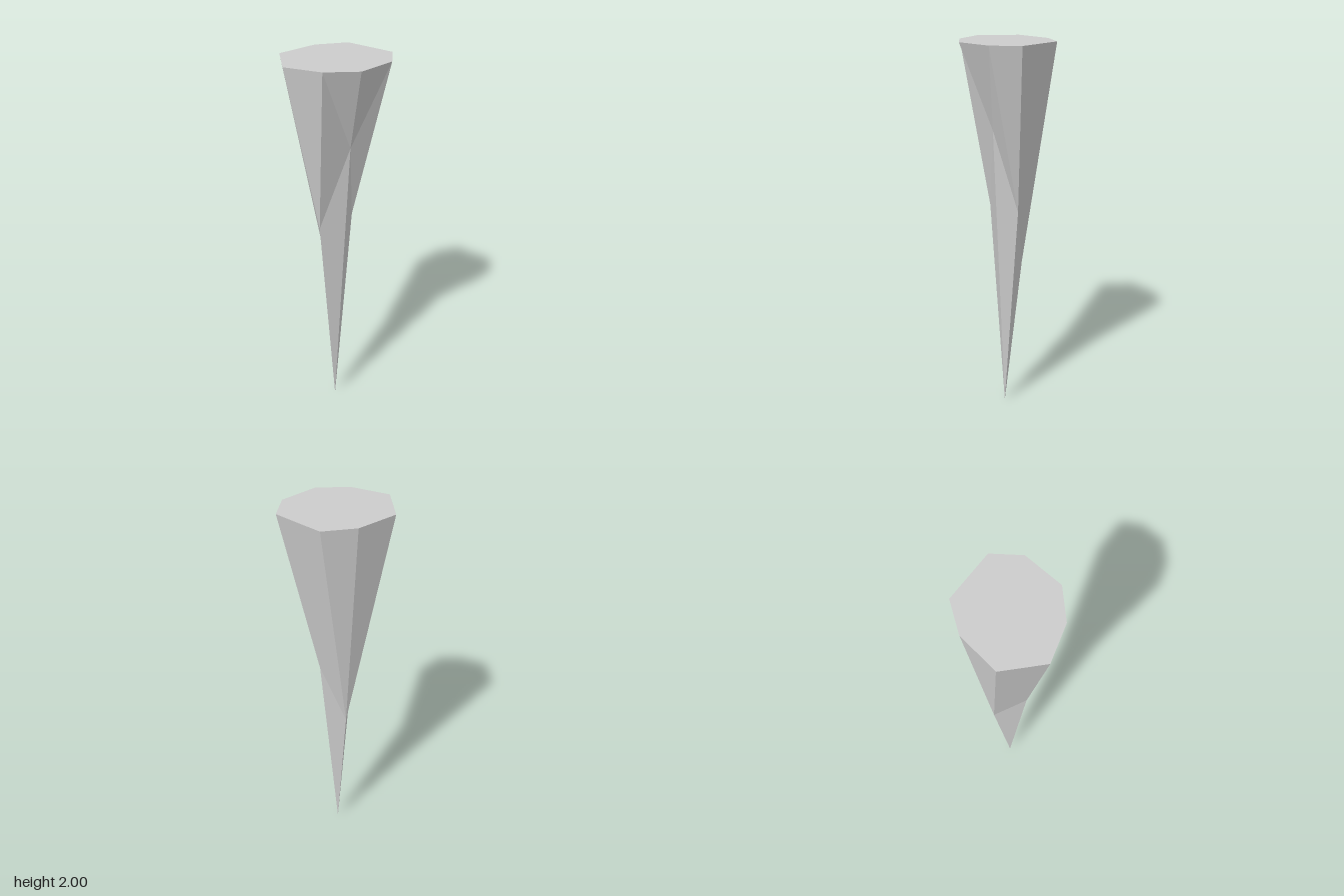
import * as THREE from 'three';

// Builds a flat-shaded mesh from a list of triangle corners
function facetMesh(name, corners) {
  const geometry = new THREE.BufferGeometry().setFromPoints(corners);
  geometry.computeVertexNormals();
  const material = new THREE.MeshStandardMaterial({ color: 0xcccccc, flatShading: true });
  const mesh = new THREE.Mesh(geometry, material);
  mesh.name = name;
  return mesh;
}

export function createModel() {
  const group = new THREE.Group();
  group.name = 'hangingSpike';

  // Irregular eight-sided rim, running from +x through +z
  const rim = [
    [0.268, 0.012], [0.165, 0.191], [0.001, 0.244], [-0.19, 0.215],
    [-0.27, 0.012], [-0.148, -0.168], [0.001, -0.247], [0.242, -0.14],
  ].map(([x, z]) => new THREE.Vector3(x, 2, z));

  // Four waist corners at uneven heights, and the point of the spike
  const waist = [
    [0.086, 1.57, 0.05], [-0.056, 1.14, 0.11],
    [-0.068, 0.83, -0.062], [0.068, 1.15, -0.076],
  ].map((p) => new THREE.Vector3(...p));
  const tip = new THREE.Vector3(0, 0, 0.015);

  const upper = [], lower = [], cap = [];
  waist.forEach((corner, k) => {
    const next = waist[(k + 1) % 4];
    const [a, b, c] = [0, 1, 2].map((i) => rim[(2 * k + i) % 8]);
    upper.push(corner, a, b, corner, b, c, corner, c, next);
    lower.push(tip, corner, next);
  });

  // Flat top
  const centre = new THREE.Vector3(0, 2, 0);
  rim.forEach((p, i) => cap.push(centre, rim[(i + 1) % 8], p));

  group.add(
    facetMesh('flaredUpperSides', upper),
    facetMesh('taperedPoint', lower),
    facetMesh('flatTop', cap),
  );
  return group;
}
